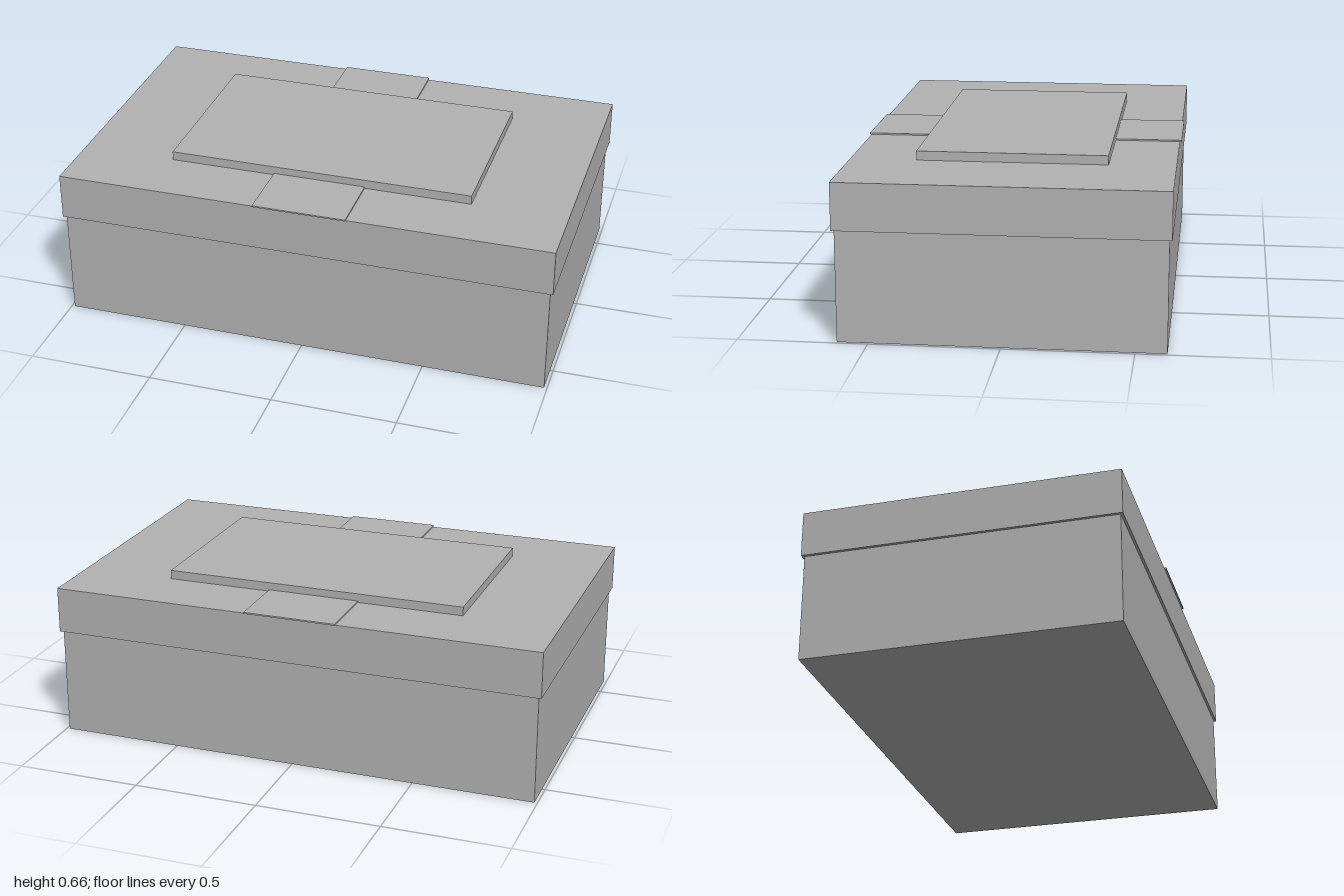
import * as THREE from 'three';

export function createModel() {
  const model = new THREE.Group();
  const grey = new THREE.MeshStandardMaterial({ color: 0xb2b2b2 });
  grey.name = 'grey';

  // A box centred on x and z, spanning bottom to top in y
  function addBox(name, width, depth, bottom, top) {
    const mesh = new THREE.Mesh(new THREE.BoxGeometry(width, top - bottom, depth), grey);
    mesh.name = name;
    mesh.position.y = (bottom + top) / 2;
    model.add(mesh);
  }

  addBox('boxBase', 1.976, 1.24, 0, 0.436);
  addBox('lid', 2, 1.26, 0.436, 0.621);
  // Thin band across the lid, overhanging it slightly at front and back
  addBox('lidBand', 0.376, 1.274, 0.621, 0.627);
  // Raised panel on top of the band
  addBox('topPanel', 1.236, 0.742, 0.621, 0.657);

  return model;
}
